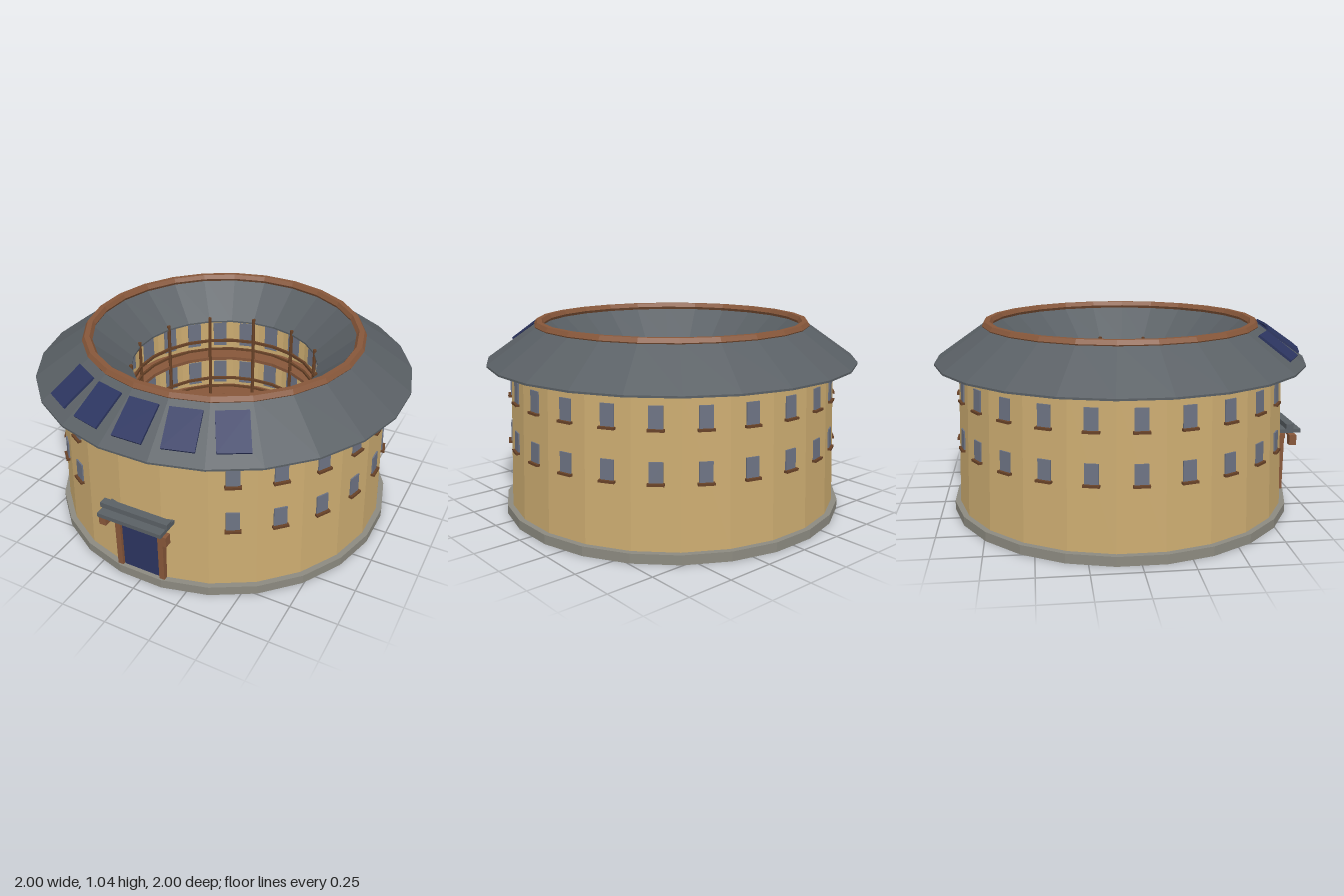
import * as THREE from 'three';

const SIDES = 24;
const STEP = (Math.PI * 2) / SIDES;
const FIT = 1 / Math.cos(STEP / 2); // flat-to-flat radius -> corner radius

const mat = (name, color, side = THREE.FrontSide) => {
  const m = new THREE.MeshStandardMaterial({ color, side });
  m.name = name;
  return m;
};

export function createModel() {
  const earth = mat('rammed earth', 0xcbab70);
  const tile = mat('roof tile', 0x5a6065, THREE.DoubleSide);
  const stone = mat('stone', 0x8c8a80);
  const paving = mat('paving', 0x98907f);
  const wood = mat('wood', 0x87573a);
  const darkWood = mat('dark wood', 0x684227);
  const glass = mat('window glass', 0x6c7282);
  const navy = mat('navy panel', 0x2c3560);
  const green = mat('foliage', 0x3f7d50);

  const model = new THREE.Group();
  model.name = 'roundHouse';

  const flat = (g) => {
    const f = g.index ? g.toNonIndexed() : g;
    f.computeVertexNormals();
    return f;
  };
  const add = (name, geo, material, parent = model, x = 0, y = 0, z = 0) => {
    const m = new THREE.Mesh(flat(geo), material);
    m.name = name;
    m.position.set(x, y, z);
    parent.add(m);
    return m;
  };
  const box = (name, w, h, d, material, parent, x, y, z) =>
    add(name, new THREE.BoxGeometry(w, h, d), material, parent, x, y, z);
  // Faceted ring from [radius, y] points: up the outside, down the inside
  const ring = (name, pts, material) =>
    add(name, new THREE.LatheGeometry(
      pts.map(([r, y]) => new THREE.Vector2(r * FIT, y)), SIDES, STEP / 2), material);
  const band = (name, r0, r1, y0, y1, material) =>
    ring(name, [[r0, y0], [r1, y0], [r1, y1], [r0, y1], [r0, y0]], material);
  // Group turned about the vertical axis; angle 0 faces the front
  const turned = (name, angle) => {
    const g = new THREE.Group();
    g.name = name;
    g.rotation.y = angle;
    model.add(g);
    return g;
  };

  // Foundation and courtyard
  ring('foundation', [[0, 0], [0.93, 0], [0.93, 0.05], [0, 0.05]], stone);
  ring('courtyardFloor', [[0.62, 0.05], [0.62, 0.056], [0, 0.056]], paving);

  // Tapered outer wall with the inner wall behind the galleries
  const wallR = (y) => 0.9 - (y - 0.05) * 0.036;
  ring('wall', [[0.62, 0.05], [wallR(0.05), 0.05], [wallR(0.82), 0.82], [0.62, 0.82], [0.62, 0.05]], earth);

  // Double-pitched ring roof and its ridge
  ring('roof', [[0.5, 0.815], [1.0, 0.815], [1.0, 0.825], [0.725, 1.02], [0.5, 0.825], [0.5, 0.815]], tile);
  const ridge = [];
  for (let i = 0; i <= 6; i++) {
    const a = (i * Math.PI) / 3;
    ridge.push([0.718 + 0.027 * Math.cos(a), 1.014 + 0.025 * Math.sin(a)]);
  }
  ring('ridge', ridge, wood);

  // Outer windows, two rows, leaving the entrance side clear
  for (let i = 2; i <= SIDES - 2; i++) {
    for (const [y, h] of [[0.437, 0.1], [0.697, 0.108]]) {
      const g = turned('window', i * STEP);
      const r = wallR(y);
      const pane = box('pane', 0.068, h, 0.009, glass, g, 0, y, r + 0.003);
      pane.rotation.x = -0.036;
      box('sill', 0.082, 0.012, 0.03, darkWood, g, 0, y - h / 2 - 0.006, r + 0.008);
    }
  }

  // Galleries: floors, rails, doors and posts around the courtyard
  for (const y of [0.32, 0.58]) {
    band('galleryFloor', 0.5, 0.62, y - 0.02, y, wood);
    band('lowerRail', 0.497, 0.51, y + 0.05, y + 0.062, darkWood);
    band('upperRail', 0.497, 0.51, y + 0.105, y + 0.12, darkWood);
  }
  for (let i = 0; i < SIDES; i++) {
    const g = turned('galleryDoors', i * STEP);
    for (const y of [0.14, 0.415, 0.68]) box('galleryDoor', 0.08, 0.15, 0.008, glass, g, 0, y, 0.618);
  }
  for (let i = 0; i < 12; i++) {
    const g = turned('postBay', STEP / 2 + i * STEP * 2);
    add('galleryPost', new THREE.CylinderGeometry(0.01, 0.01, 0.79, 6), darkWood, g, 0, 0.45, 0.508);
  }

  // Entrance with frame, brackets and small tiled canopy
  const entrance = turned('entrance', 0);
  box('door', 0.21, 0.305, 0.02, navy, entrance, 0, 0.2025, 0.897);
  box('lintel', 0.3, 0.03, 0.03, wood, entrance, 0, 0.37, 0.905);
  for (const s of [-1, 1]) {
    box('doorPost', 0.03, 0.31, 0.032, wood, entrance, s * 0.123, 0.205, 0.904);
    box('bracket', 0.04, 0.057, 0.04, wood, entrance, s * 0.172, 0.357, 0.953);
  }
  box('canopyBeam', 0.38, 0.012, 0.035, wood, entrance, 0, 0.38, 0.953);
  box('canopy', 0.36, 0.022, 0.13, tile, entrance, 0, 0.407, 0.933);
  box('canopyRidge', 0.38, 0.028, 0.042, tile, entrance, 0, 0.435, 0.933);

  // Solar panels on the front roof slope
  for (let i = -2; i <= 2; i++) {
    const g = turned('solarMount', i * STEP);
    const p = box('solarPanel', 0.158, 0.012, 0.205, navy, g, 0, 0.939, 0.878);
    p.rotation.x = 0.61;
  }

  // Courtyard pavilion
  box('pavilionBody', 0.3, 0.18, 0.3, earth, model, 0, 0.145, 0);
  const cap = new THREE.ConeGeometry(0.2 * Math.SQRT2, 0.13, 4);
  cap.rotateY(Math.PI / 4);
  add('pavilionRoof', cap, tile, model, 0, 0.3, 0);

  // Courtyard trees
  for (const s of [-1, 1]) {
    add('treeTrunk', new THREE.CylinderGeometry(0.012, 0.015, 0.12, 6), darkWood, model, s * 0.405, 0.115, 0);
    add('treeCrown', new THREE.SphereGeometry(0.07, 6, 5), green, model, s * 0.405, 0.22, 0);
  }
  return model;
}
